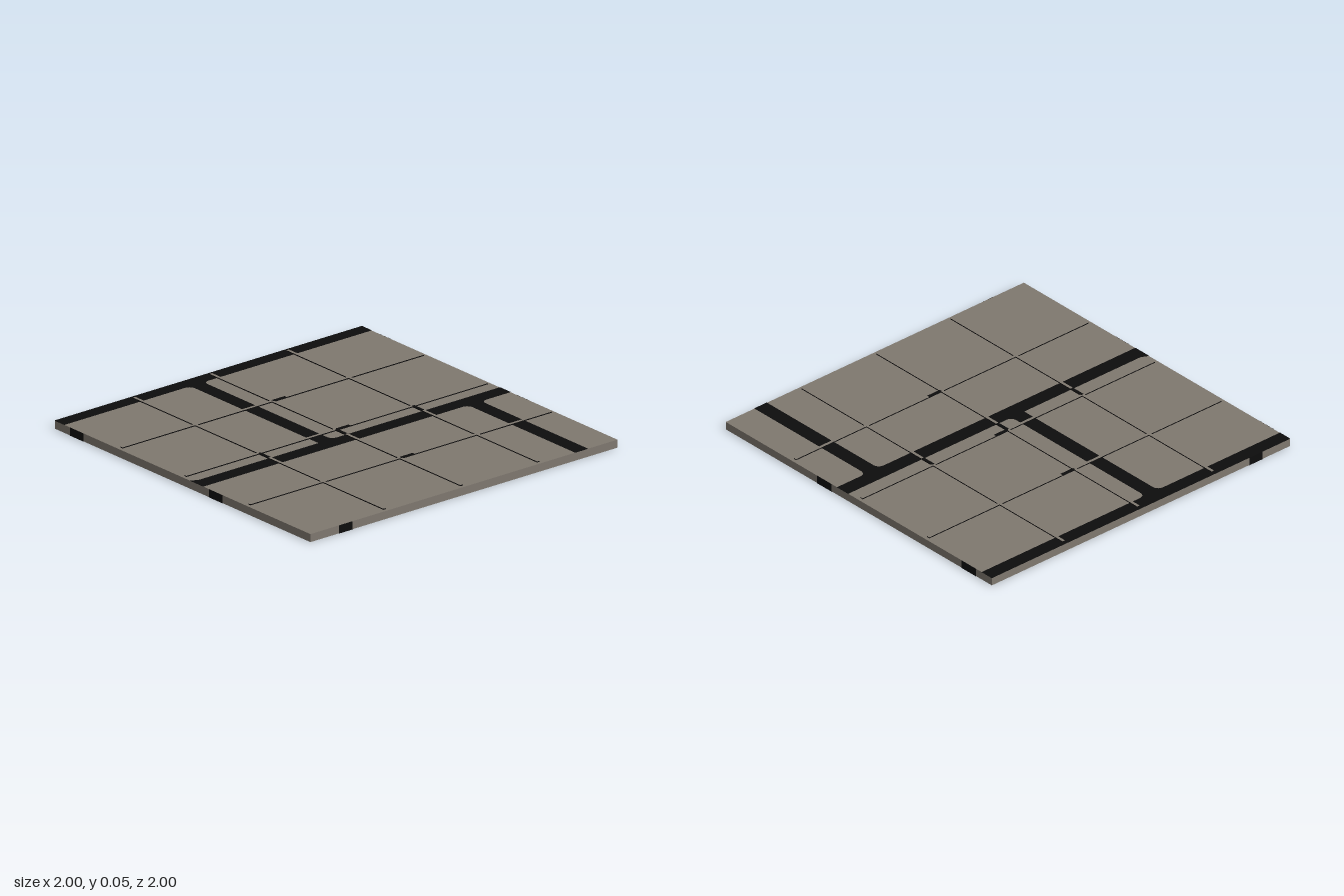
import * as THREE from 'three';

const EDGE = 0.001;        // thickness of painted plates
const TOP = 0.044;         // slab top
const HALF = 0.0415;       // half width of a joint band

export function createModel() {
  const model = new THREE.Group();
  model.name = 'floorPanel';
  const stone = new THREE.MeshStandardMaterial({ color: 0x7f786f });
  stone.name = 'stone grey';
  const joint = new THREE.MeshStandardMaterial({ color: 0x0d0d0d });
  joint.name = 'joint black';

  const add = (name, geometry, material, x = 0, y = 0, z = 0) => {
    const mesh = new THREE.Mesh(geometry, material);
    mesh.name = name;
    mesh.position.set(x, y, z);
    model.add(mesh);
    return mesh;
  };
  const box = (name, w, h, d, material, x, y, z) =>
    add(name, new THREE.BoxGeometry(w, h, d), material, x, y, z);

  // Slab body
  box('slab', 2 - 2 * EDGE, TOP - EDGE, 2 - 2 * EDGE, stone, 0, (TOP + EDGE) / 2, 0);

  // Flat joint pattern: two long bands, cross bands and rounded inner corners
  function jointPattern(name, flip, shift, y) {
    const shapes = [];
    const polygon = (points) => {
      const pts = points.map(([x, z]) => new THREE.Vector2(flip * x, -z));
      shapes.push(new THREE.Shape(pts));
    };
    const rect = (x0, x1, z0, z1) => polygon([[x0, z0], [x1, z0], [x1, z1], [x0, z1]]);
    const fillet = (x, z, sx, sz, r = 0.035) => {
      const pts = [[x, z]];
      for (let i = 0; i <= 5; i++) {
        const a = (i / 5) * Math.PI / 2;
        pts.push([x + sx * r * (1 - Math.sin(a)), z + sz * r * (1 - Math.cos(a))]);
      }
      polygon(pts);
    };

    const back = -0.965 + shift, middle = 0.121 + shift;
    const upper = -0.138, lower = 0.765;
    rect(-1, 1, Math.max(-1, back - HALF), back + HALF);
    rect(-1, 1, middle - HALF, middle + HALF);
    rect(upper - HALF, upper + HALF, back + HALF, middle - HALF);
    rect(lower - HALF, lower + HALF, middle + HALF, 1);
    for (const s of [-1, 1]) {
      fillet(upper + s * HALF, back + HALF, s, 1);
      fillet(lower + s * HALF, middle + HALF, s, 1);
    }
    fillet(upper + HALF, middle - HALF, 1, -1);
    polygon([[-1, middle - HALF], [-1, middle - HALF - 0.02], [-0.96, middle - HALF]]);
    if (back - HALF > -1) rect(lower - HALF, lower + HALF, -1, back - HALF);

    const geometry = new THREE.ExtrudeGeometry(shapes, { depth: EDGE, bevelEnabled: false });
    geometry.rotateX(-Math.PI / 2);
    add(name, geometry, joint, 0, y, 0);
  }
  jointPattern('topJoints', 1, 0, TOP);
  jointPattern('bottomJoints', -1, 0.139, 0);

  // Joint ends on the four sides
  for (const s of [-1, 1]) {
    const at = s * (1 - EDGE / 2);
    for (const z of [-0.827, 0.26]) {
      box('sideJoint', EDGE, TOP, 0.107, joint, at, TOP / 2, z);
    }
    box('endJoint', 0.085, TOP, EDGE, joint, -0.77, TOP / 2, at);
  }

  // Raised grid strips with dark flanks and one dark mark on top of each
  const stripHeight = 0.0055, width = 0.016, length = 1.96;
  const faces = [joint, joint, stone, joint, joint, joint];
  const y = TOP + stripHeight / 2, markY = TOP + stripHeight + 0.00025;
  for (const p of [-0.5, 0, 0.5]) {
    box('crossStrip', length, stripHeight, width, faces, 0, y, p);
    box('crossStripMark', 0.085, 0.0005, width, joint, 0.0445, markY, p);
    box('longStrip', width, stripHeight, length, faces, p, y, 0);
    box('longStripMark', width, 0.0005, 0.08, joint, p, markY, 0.04);
  }
  return model;
}
